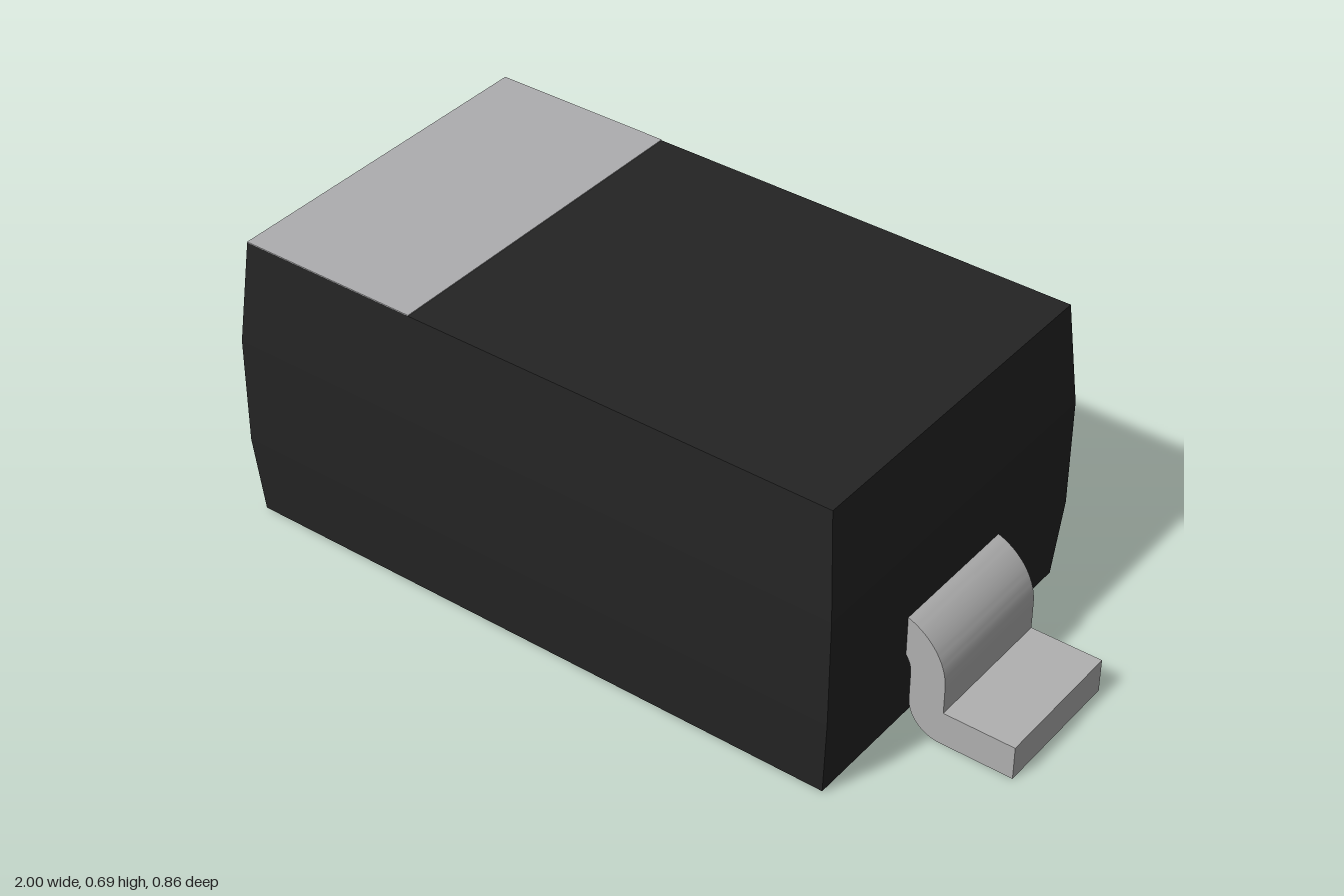
import * as THREE from 'three';
import { toCreasedNormals } from 'three/addons/utils/BufferGeometryUtils.js';

// Body cross-sections from bottom to top: height, half width, half depth
const SECTIONS = [
  [0.003, 0.728, 0.417],
  [0.19, 0.742, 0.431],
  [0.445, 0.742, 0.431],
  [0.686, 0.721, 0.411],
];

// Block with drafted sides, each box row moved to its cross-section
function bodyGeometry() {
  const geometry = new THREE.BoxGeometry(2, 3, 2, 1, 3, 1);
  const p = geometry.attributes.position;
  for (let i = 0; i < p.count; i++) {
    const [y, halfX, halfZ] = SECTIONS[Math.round(p.getY(i) + 1.5)];
    p.setXYZ(i, Math.sign(p.getX(i)) * halfX, y, Math.sign(p.getZ(i)) * halfZ);
  }
  const flat = geometry.toNonIndexed();
  flat.computeVertexNormals();
  return flat;
}

// Bent metal strip: out of the body, down, then out along the ground
function leadGeometry() {
  const s = new THREE.Shape();
  s.moveTo(0.65, 0.285);
  s.lineTo(0.695, 0.285);
  s.absarc(0.695, 0.145, 0.14, Math.PI / 2, 0, true);
  s.lineTo(0.835, 0.08);
  s.lineTo(1, 0.08);
  s.lineTo(1, 0);
  s.lineTo(0.83, 0);
  s.absarc(0.83, 0.075, 0.075, -Math.PI / 2, -Math.PI, true);
  s.lineTo(0.755, 0.145);
  s.absarc(0.695, 0.145, 0.06, 0, Math.PI / 2, false);
  s.lineTo(0.65, 0.205);
  const geometry = new THREE.ExtrudeGeometry(s, { depth: 0.324, bevelEnabled: false, curveSegments: 14 });
  geometry.translate(0, 0, -0.162);
  return toCreasedNormals(geometry, 0.5);
}

export function createModel() {
  const model = new THREE.Group();
  model.name = 'twoLeadComponent';

  const blackPlastic = new THREE.MeshStandardMaterial({ color: 0x242424 });
  blackPlastic.name = 'black plastic';
  const metal = new THREE.MeshStandardMaterial({ color: 0xb0b0b0 });
  metal.name = 'tinned metal';
  const greyPaint = new THREE.MeshStandardMaterial({ color: 0xadadaf });
  greyPaint.name = 'grey paint';

  const add = (name, geometry, material) => {
    const mesh = new THREE.Mesh(geometry, material);
    mesh.name = name;
    model.add(mesh);
    return mesh;
  };

  add('body', bodyGeometry(), blackPlastic);

  // Painted band across one end of the top
  add('polarityBand', new THREE.BoxGeometry(0.43, 0.003, 0.822), greyPaint)
    .position.set(-0.506, 0.6865, 0);

  // One lead at each end
  const lead = leadGeometry();
  add('leftLead', lead, metal);
  add('rightLead', lead, metal).rotation.y = Math.PI;

  return model;
}
